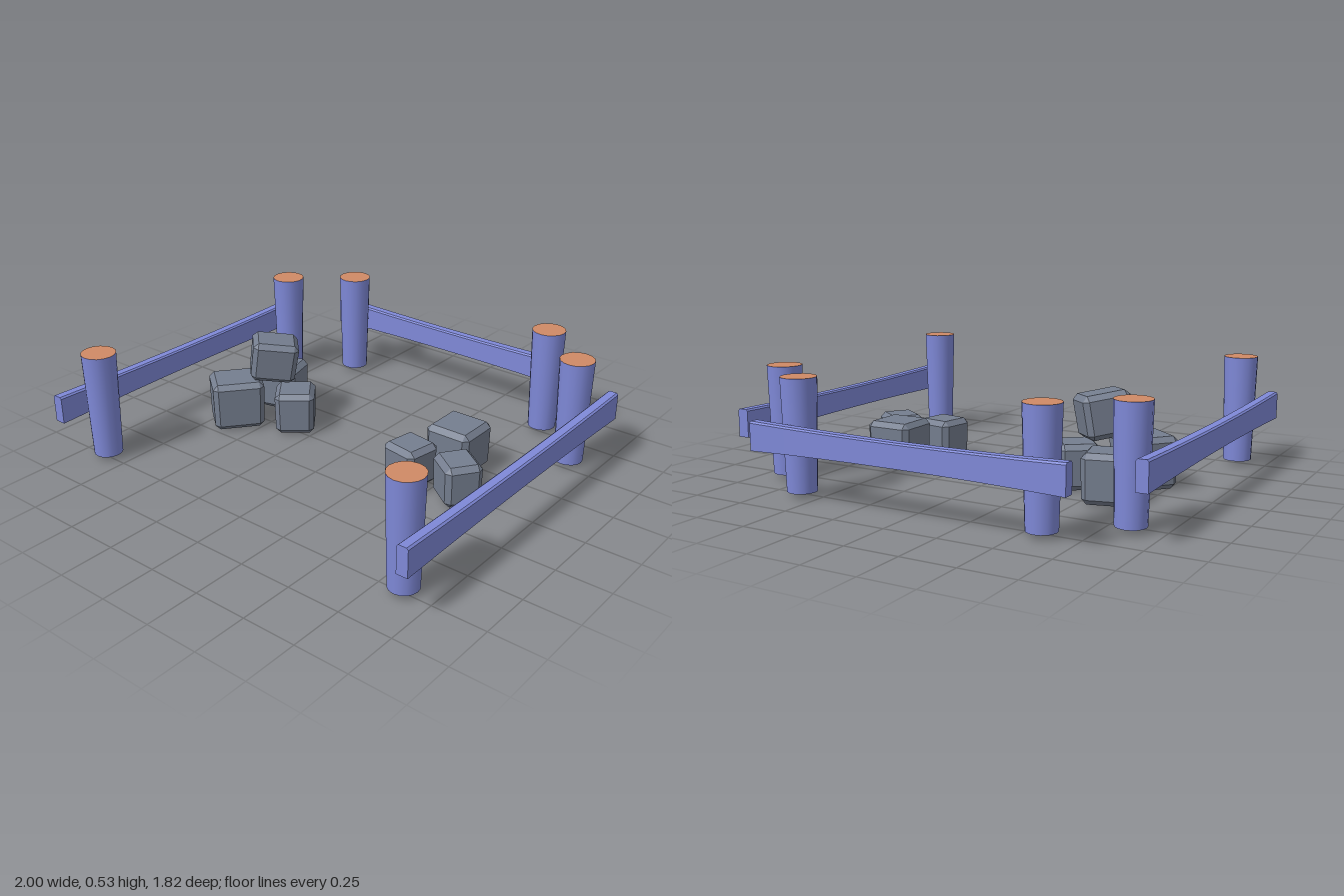
import * as THREE from 'three';
import { ConvexGeometry } from 'three/addons/geometries/ConvexGeometry.js';

const paint = new THREE.MeshStandardMaterial({ color: 0x7f89d8 });
const cutWood = new THREE.MeshStandardMaterial({ color: 0xd08a66 });
const stone = new THREE.MeshStandardMaterial({ color: 0x757e8f, flatShading: true });

// Tapered round post with a bare cut top
function makePost(name, x, z) {
  const post = new THREE.Mesh(
    new THREE.CylinderGeometry(0.08, 0.067, 0.505, 16), [paint, cutWood, paint]);
  post.name = name;
  post.position.set(x, 0.2775, z);
  return post;
}

// Plank along z with chamfered top edges, slimmer at the middle
function makeRail(name, length) {
  const w = 0.0265, h = 0.065, c = 0.008;
  const section = new THREE.Shape([
    [-w, -h], [w, -h], [w, h - c], [w - c, h], [c - w, h], [-w, h - c],
  ].map(([x, y]) => new THREE.Vector2(x, y)));
  const geo = new THREE.ExtrudeGeometry(section, { depth: length, steps: 8, bevelEnabled: false });
  geo.translate(0, 0, -length / 2);
  const p = geo.attributes.position;
  for (let i = 0; i < p.count; i++) {
    const t = p.getZ(i) / (length / 2);
    p.setY(i, p.getY(i) * (0.81 + 0.19 * t * t));
  }
  geo.computeVertexNormals();
  const rail = new THREE.Mesh(geo, paint);
  rail.name = name;
  rail.position.y = 0.275;
  return rail;
}

// Block with chamfered edges, narrowing slightly to the top and bottom
function makeRock(name, [w, h, d], position, rotation) {
  const c = 0.024, points = [];
  for (const sx of [-1, 1]) for (const sy of [-1, 1]) for (const sz of [-1, 1]) {
    for (let axis = 0; axis < 3; axis++) {
      const v = new THREE.Vector3(
        sx * (w / 2 - (axis === 0 ? 0 : c)),
        sy * (h / 2 - (axis === 1 ? 0 : c)),
        sz * (d / 2 - (axis === 2 ? 0 : c)));
      const taper = 1 - 0.12 * Math.max(0, -v.y) / h - 0.04 * Math.max(0, v.y) / h;
      v.x *= taper;
      v.z *= taper;
      points.push(v);
    }
  }
  const rock = new THREE.Mesh(new ConvexGeometry(points), stone);
  rock.name = name;
  rock.position.set(...position);
  rock.rotation.set(...rotation, 'YXZ');
  return rock;
}

export function createModel() {
  const model = new THREE.Group();
  model.name = 'fencedRocks';

  // Three-sided fence
  const fence = new THREE.Group();
  fence.name = 'fence';
  for (const [side, s] of [['left', 1], ['right', -1]]) {
    fence.add(
      makePost(side + 'FrontPost', s * 0.863, 0.74),
      makePost(side + 'RearPost', s * 0.863, -0.553),
      makePost(side + 'BackPost', s * 0.59, -0.78));
    const rail = makeRail(side + 'Rail', 1.63);
    rail.position.x = s * 0.9735;
    rail.position.z = 0.095;
    fence.add(rail);
  }
  const backRail = makeRail('backRail', 1.515);
  backRail.rotation.y = Math.PI / 2;
  backRail.position.z = -0.886;
  fence.add(backRail);

  // Stacked pile on the right
  const rightPile = new THREE.Group();
  rightPile.name = 'rightRockPile';
  rightPile.add(
    makeRock('largeRock', [0.225, 0.24, 0.255], [-0.637, 0.125, 0.098], [0, -0.68, 0]),
    makeRock('rearRock', [0.205, 0.225, 0.2], [-0.6, 0.115, -0.208], [0, 0.26, 0]),
    makeRock('innerRock', [0.195, 0.21, 0.2], [-0.373, 0.106, -0.04], [0, 0.66, 0]),
    makeRock('topRock', [0.225, 0.2, 0.185], [-0.497, 0.345, -0.028], [0.06, 0.78, -0.14]));

  // Low pile on the left
  const leftPile = new THREE.Group();
  leftPile.name = 'leftRockPile';
  leftPile.add(
    makeRock('largeRock', [0.23, 0.22, 0.225], [0.497, 0.135, -0.175], [0, 0, 0]),
    makeRock('frontRock', [0.19, 0.195, 0.185], [0.405, 0.121, 0.07], [0, -0.17, 0]),
    makeRock('outerRock', [0.195, 0.195, 0.175], [0.653, 0.121, 0.064], [0, -0.62, 0]));

  model.add(fence, rightPile, leftPile);
  return model;
}
